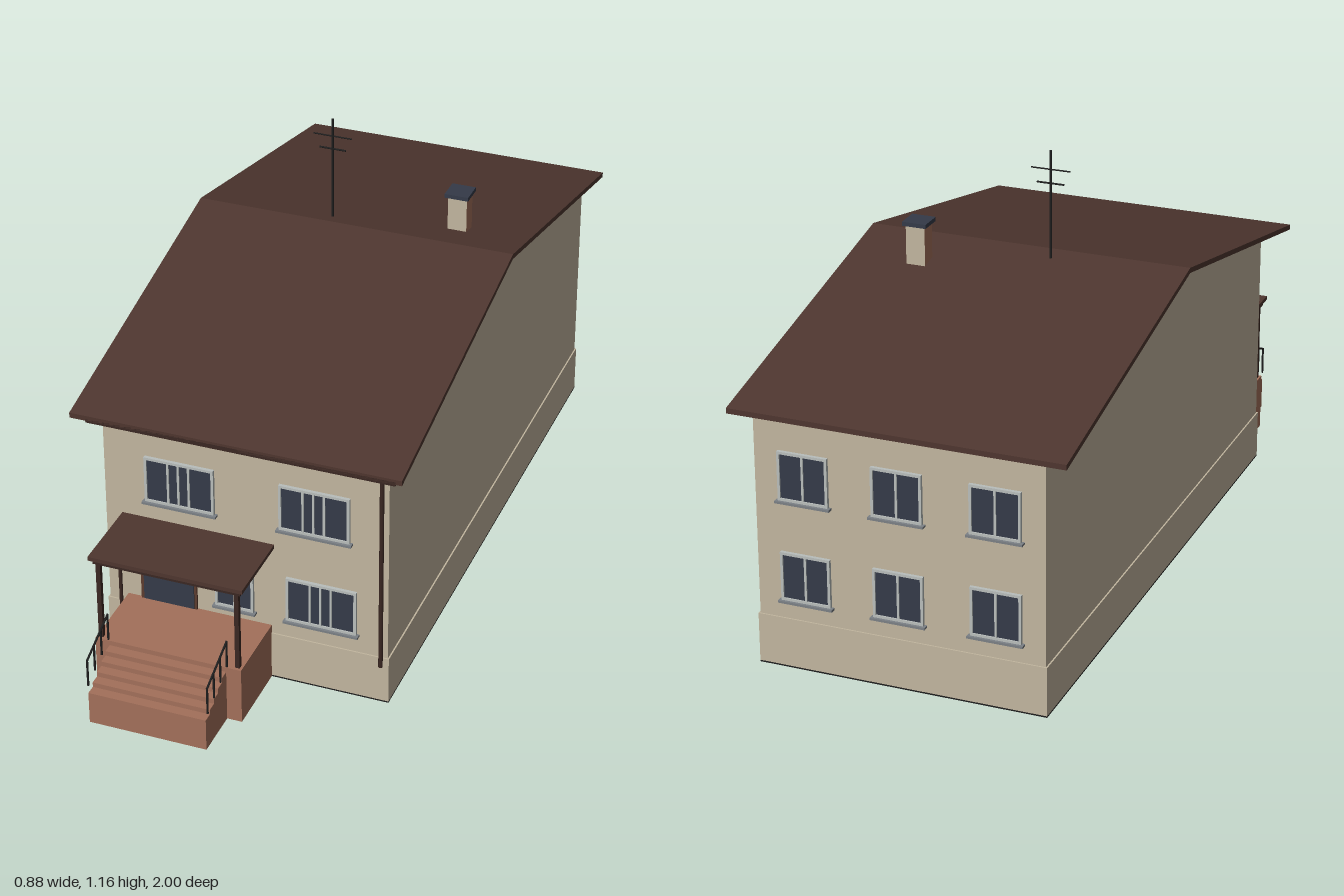
import * as THREE from 'three';

const mat = (name, color, side = THREE.FrontSide) => {
  const m = new THREE.MeshStandardMaterial({ color, side });
  m.name = name;
  return m;
};

export function createModel() {
  const wall = mat('render', 0xc2b69f);
  const brick = mat('brick', 0xa3705a);
  const roofing = mat('roofing', 0x4e362f);
  const trim = mat('darkTimber', 0x3a2722);
  const glass = mat('glass', 0x343a48);
  const frame = mat('windowFrame', 0xb9bebc);
  const sillMat = mat('sill', 0x7b8085);
  const iron = mat('iron', 0x1e1e1e);
  const doorWood = mat('doorFrame', 0x5c3c2e);

  const model = new THREE.Group();
  model.name = 'house';

  // Box given by its limits along each axis
  const box = (name, material, x0, x1, y0, y1, z0, z1, parent = model) => {
    const mesh = new THREE.Mesh(new THREE.BoxGeometry(x1 - x0, y1 - y0, z1 - z0), material);
    mesh.position.set((x0 + x1) / 2, (y0 + y1) / 2, (z0 + z1) / 2);
    mesh.name = name;
    parent.add(mesh);
    return mesh;
  };

  // Side outline of [z, y] points swept from x0 to x1
  const sweep = (name, material, pts, x0, x1, parent = model) => {
    const shape = new THREE.Shape(pts.map(([z, y]) => new THREE.Vector2(z, y)));
    const geo = new THREE.ExtrudeGeometry(shape, { depth: x1 - x0, bevelEnabled: false });
    geo.rotateY(-Math.PI / 2).translate(x1, 0, 0);
    const mesh = new THREE.Mesh(geo, material);
    mesh.name = name;
    parent.add(mesh);
  };

  // Round bar between two points
  const bar = (name, material, a, b, r, parent = model) => {
    const from = new THREE.Vector3(...a), dir = new THREE.Vector3(...b).sub(from);
    const mesh = new THREE.Mesh(new THREE.CylinderGeometry(r, r, dir.length(), 8), material);
    mesh.position.copy(from).addScaledVector(dir, 0.5);
    mesh.quaternion.setFromUnitVectors(new THREE.Vector3(0, 1, 0), dir.normalize());
    mesh.name = name;
    parent.add(mesh);
  };

  // Walls, plinth and underside
  const front = 0.66, back = -0.95, ridge = -0.15;
  sweep('walls', wall, [[front, 0.1], [front, 0.69], [ridge, 0.866], [back, 0.692], [back, 0.1]].reverse(), -0.367, 0.392);
  box('plinth', wall, -0.371, 0.396, 0.004, 0.135, back - 0.004, front + 0.004);
  box('underside', iron, -0.371, 0.396, 0, 0.004, back - 0.004, front + 0.004);

  // Gable roof with dark fascia and gutters
  sweep('roof', roofing, [[0.7, 0.686], [0.7, 0.7], [ridge, 0.878], [-1, 0.7], [-1, 0.686], [ridge, 0.864]].reverse(), -0.438, 0.437);
  box('frontGutter', trim, -0.395, 0.42, 0.681, 0.693, 0.675, 0.7);

  // Windows: local +z faces outwards
  const addWindow = (name, x0, x1, y0, y1, z, bars, flip = false) => {
    const g = new THREE.Group();
    g.name = name;
    const w = x1 - x0, h = y1 - y0, t = 0.007;
    box('glass', glass, -w / 2, w / 2, 0, h, 0, 0.005, g);
    for (const s of [-1, 1]) {
      box('jamb', frame, s * w / 2 - t / 2, s * w / 2 + t / 2, 0, h, 0, 0.009, g);
      box('rail', frame, -w / 2 - t / 2, w / 2 + t / 2, s > 0 ? h - t / 2 : -t / 2, s > 0 ? h + t / 2 : t / 2, 0, 0.009, g);
    }
    for (const f of bars) box('mullion', frame, (f - 0.5) * w - 0.003, (f - 0.5) * w + 0.003, 0, h, 0, 0.008, g);
    box('sill', sillMat, -w / 2 - 0.01, w / 2 + 0.01, -0.009, -0.003, 0, 0.016, g);
    g.position.set((x0 + x1) / 2, y0, z);
    if (flip) g.rotation.y = Math.PI;
    model.add(g);
  };
  const triple = [0.335, 0.49, 0.645];
  addWindow('upperRightWindow', -0.252, -0.072, 0.464, 0.588, front, triple);
  addWindow('upperLeftWindow', 0.108, 0.288, 0.464, 0.588, front, triple);
  addWindow('lowerLeftWindow', 0.125, 0.306, 0.192, 0.314, front, triple);
  addWindow('porchWindow', -0.067, 0.03, 0.192, 0.314, front, [0.5]);
  for (const y of [0.19, 0.46])
    for (const x of [-0.24, 0.015, 0.262])
      addWindow('backWindow', x - 0.063, x + 0.063, y, y + 0.124, back, [0.5], true);

  // Door and small wall plate
  box('doorFrame', doorWood, -0.276, -0.122, 0.158, 0.36, front, front + 0.006);
  box('doorPanel', glass, -0.267, -0.129, 0.16, 0.354, front, front + 0.009);
  box('doorTransom', doorWood, -0.267, -0.129, 0.317, 0.32, front, front + 0.0095);
  box('wallPlate', brick, -0.069, 0.005, 0.337, 0.364, front, front + 0.006);

  // Porch: platform, steps, posts and flat canopy
  box('porchPlatform', brick, -0.315, 0.08, 0, 0.158, front, 0.866);
  const steps = [[0.866, 0]];
  steps.push([1, 0]);
  for (let i = 0; i < 5; i++) {
    const y = 0.09 + i * 0.0136;
    steps.push([1 - i * 0.0268, y], [1 - (i + 1) * 0.0268, y]);
  }
  sweep('steps', brick, steps, -0.276, 0.04);
  for (const x of [-0.303, 0.067])
    box('porchPost', trim, x - 0.006, x + 0.006, 0.158, 0.385, 0.846, 0.858);
  box('porchBeam', trim, -0.315, 0.08, 0.381, 0.396, front, 0.862);
  box('porchCanopy', roofing, -0.323, 0.089, 0.395, 0.406, front, 0.872);

  // Stair railings
  for (const x of [-0.277, 0.044]) {
    const g = new THREE.Group();
    g.name = 'stairRailing';
    for (let i = 0; i < 4; i++) {
      const z = 0.996 - i * 0.042;
      const top = 0.186 + i * 0.018;
      bar('railingPost', iron, [x, top - 0.075, z], [x, top, z], 0.003, g);
    }
    bar('handrail', iron, [x, 0.186, 0.997], [x, 0.241, 0.868], 0.003, g);
    model.add(g);
  }

  // Downpipes
  bar('porchDownpipe', trim, [-0.333, 0.11, 0.667], [-0.333, 0.38, 0.667], 0.005);
  bar('roofDownpipe', trim, [0.375, 0.11, 0.667], [0.375, 0.685, 0.667], 0.006);

  // Chimney: brick flanks, rendered front and back, dark cap
  box('chimney', [brick, brick, wall, wall, wall, wall], 0.22, 0.272, 0.82, 0.95, -0.308, -0.262);
  box('chimneyCap', glass, 0.213, 0.278, 0.95, 0.961, -0.317, -0.253);

  // Aerial
  bar('aerialMast', iron, [-0.078, 0.86, -0.193], [-0.078, 1.157, -0.193], 0.0035);
  bar('aerialUpperBar', iron, [-0.131, 1.107, -0.193], [-0.025, 1.107, -0.193], 0.002);
  bar('aerialLowerBar', iron, [-0.114, 1.07, -0.193], [-0.041, 1.07, -0.193], 0.0025);

  return model;
}
